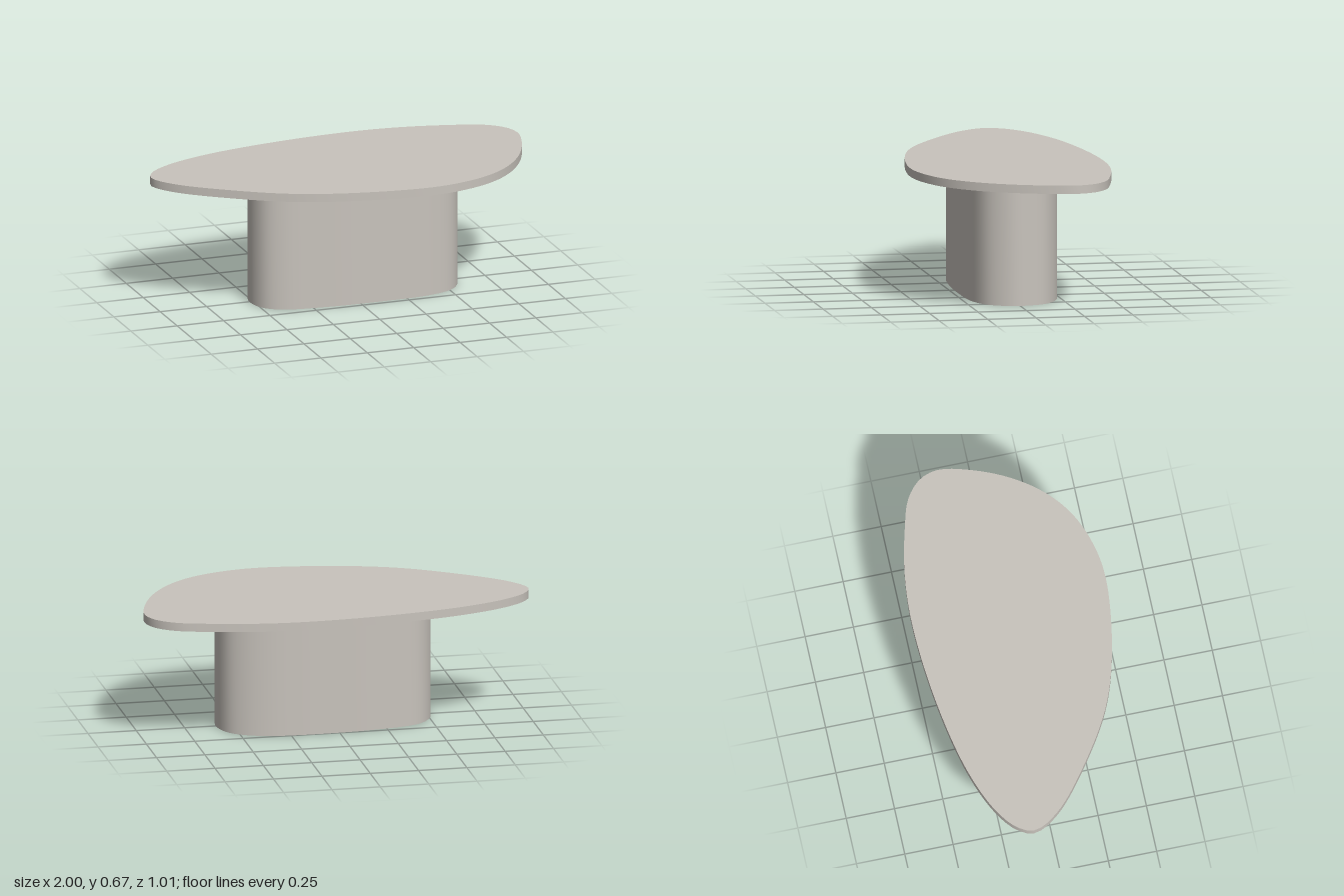
import * as THREE from 'three';
import { toCreasedNormals } from 'three/addons/utils/BufferGeometryUtils.js';

// Plan outlines as [x, z] control points
const TOP = [
  [1, -0.21], [0.97, -0.305], [0.88, -0.385], [0.73, -0.435], [0.49, -0.487], [0.22, -0.507],
  [-0.21, -0.477], [-0.61, -0.4], [-0.85, -0.305], [-0.965, -0.215], [-1, -0.13], [-0.93, 0],
  [-0.66, 0.22], [-0.4, 0.37], [-0.1, 0.46], [0.28, 0.503], [0.49, 0.467], [0.65, 0.395],
  [0.78, 0.285], [0.89, 0.13], [0.97, -0.06],
];
const BASE = [
  [0.59, 0], [0.572, 0.08], [0.51, 0.16], [0.38, 0.21], [0.1, 0.225], [-0.2, 0.215],
  [-0.4, 0.183], [-0.485, 0.125], [-0.52, 0.02], [-0.495, -0.09], [-0.42, -0.175],
  [-0.2, -0.23], [0.1, -0.25], [0.36, -0.235], [0.49, -0.185], [0.558, -0.12],
];

// Upright slab with a smooth closed outline between two heights
function slab(name, outline, bottom, top, material) {
  const curve = new THREE.CatmullRomCurve3(
    outline.map(([x, z]) => new THREE.Vector3(x, -z, 0)), true, 'centripetal');
  const points = curve.getSpacedPoints(128).slice(0, -1);
  const shape = new THREE.Shape(points.map((p) => new THREE.Vector2(p.x, p.y)));
  let geometry = new THREE.ExtrudeGeometry(shape, { depth: top - bottom, bevelEnabled: false });
  geometry.rotateX(-Math.PI / 2).translate(0, bottom, 0);
  geometry = toCreasedNormals(geometry, Math.PI / 5);
  const mesh = new THREE.Mesh(geometry, material);
  mesh.name = name;
  return mesh;
}

export function createModel() {
  const stone = new THREE.MeshStandardMaterial({ color: 0xc8c3bc });
  stone.name = 'warm grey stone';
  const table = new THREE.Group();
  table.name = 'coffeeTable';
  table.add(
    slab('pedestal', BASE, 0, 0.628, stone),
    slab('tabletop', TOP, 0.628, 0.671, stone),
  );
  return table;
}
